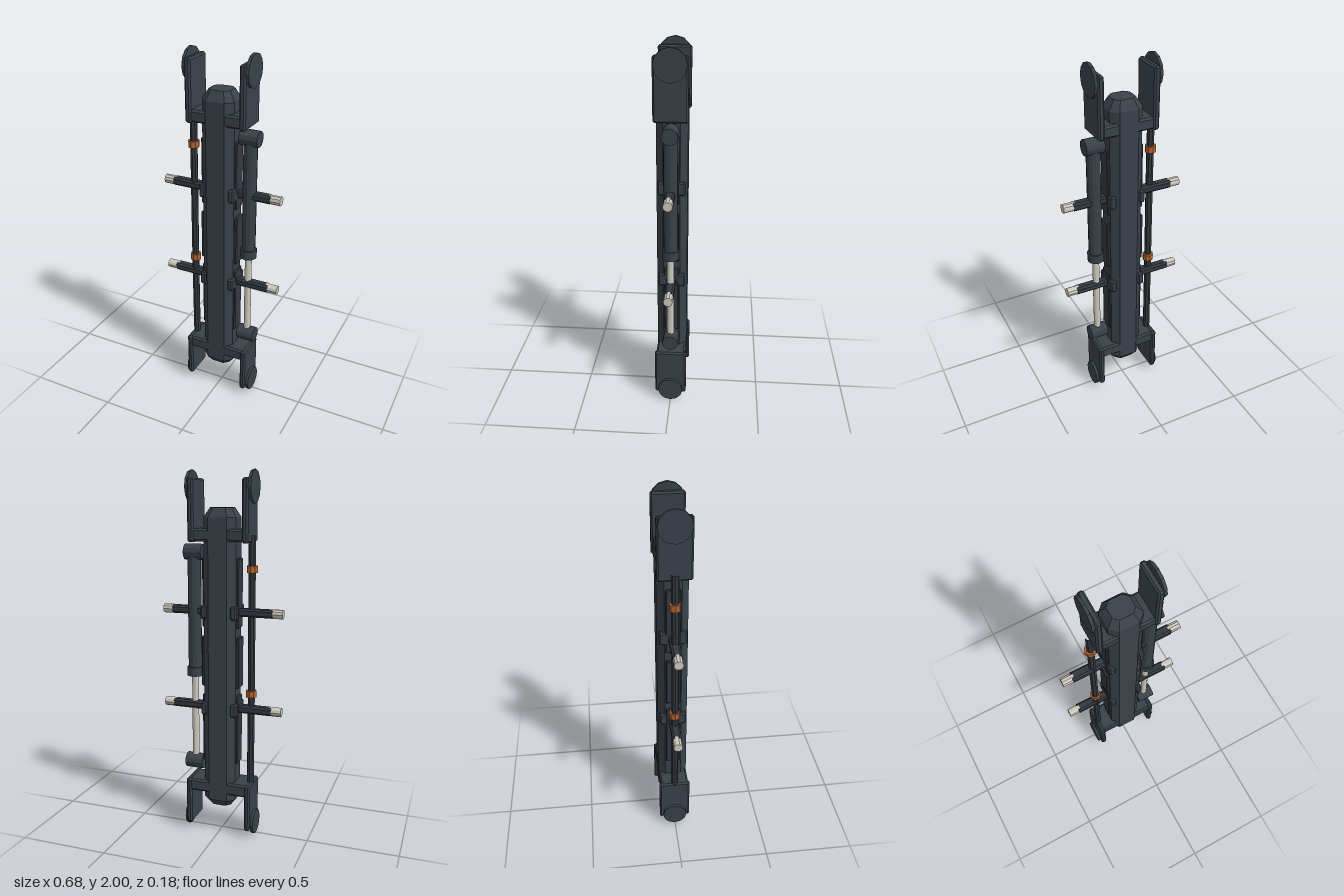
import * as THREE from 'three';
import { ConvexGeometry } from 'three/addons/geometries/ConvexGeometry.js';

const mat = (name, color, flatShading = false) => {
  const m = new THREE.MeshStandardMaterial({ color, flatShading });
  m.name = name;
  return m;
};

export function createModel() {
  const model = new THREE.Group();
  model.name = 'strut';
  const steel = mat('darkSteel', 0x394149, true);
  const gun = mat('gunmetal', 0x32393f, true);
  const bare = mat('bareMetal', 0xcfcabf, true);
  const copper = mat('copper', 0xb5652f, true);

  const add = (name, geo, material, x, y, z = 0) => {
    const mesh = new THREE.Mesh(geo, material);
    mesh.name = name;
    mesh.position.set(x, y, z);
    model.add(mesh);
    return mesh;
  };

  // Box with every edge cut at 45 degrees
  const chamferBox = (w, h, d, c) => {
    const pts = [];
    for (const i of [-1, 1]) for (const j of [-1, 1]) for (const k of [-1, 1]) {
      const x = w / 2, y = h / 2, z = d / 2;
      pts.push(new THREE.Vector3(i * x, j * (y - c), k * (z - c)));
      pts.push(new THREE.Vector3(i * (x - c), j * y, k * (z - c)));
      pts.push(new THREE.Vector3(i * (x - c), j * (y - c), k * z));
    }
    return new ConvexGeometry(pts);
  };
  const rod = (r, len, sides) => new THREE.CylinderGeometry(r, r, len, sides);
  const pin = (r, len, sides) => rod(r, len, sides).rotateZ(Math.PI / 2);

  // Eight-sided main beam with tapered ends
  const beam = [];
  for (const [y, s] of [[0.16, 0.65], [0.2, 1], [1.76, 1], [1.81, 0.65]]) {
    for (const i of [-1, 1]) for (const k of [-1, 1]) {
      beam.push(new THREE.Vector3(i * 0.09 * s, y, k * 0.045 * s));
      beam.push(new THREE.Vector3(i * 0.052 * s, y, k * 0.082 * s));
    }
  }
  add('mainBeam', new ConvexGeometry(beam), steel, 0, 0);

  // Forked yokes at both ends
  add('upperCrossbar', chamferBox(0.3, 0.065, 0.162, 0.01), steel, 0, 1.67);
  add('lowerCrossbar', chamferBox(0.35, 0.07, 0.162, 0.01), steel, 0, 0.273);

  for (const s of [-1, 1]) {
    add('upperForkPlate', chamferBox(0.034, 0.325, 0.176, 0.009), steel, s * 0.149, 1.795);
    add('upperPivotDisc', pin(0.085, 0.016, 12), steel, s * 0.171, 1.915);
    add('lowerForkPlate', chamferBox(0.032, 0.27, 0.176, 0.009), steel, s * 0.171, 0.175);
    add('lowerPivotDisc', pin(0.069, 0.016, 12), steel, s * 0.194, 0.069);

    // Raised panels on the flanks
    for (const [y, h, x] of [[1.365, 0.37, 0.092], [0.99, 0.28, 0.097], [0.61, 0.39, 0.092]]) {
      add('sidePanel', chamferBox(0.02, h, 0.08, 0.005), gun, s * x, y);
    }

    // Side pegs with bare tips
    for (const y of [1.265, 0.73]) {
      add('pegBracket', chamferBox(0.035, 0.073, 0.148, 0.008), steel, s * 0.083, y);
      add('pegArm', chamferBox(0.2, 0.044, 0.05, 0.01), gun, s * 0.19, y);
      add('pegTip', pin(0.025, 0.067, 10), bare, s * 0.304, y);
    }
  }

  // Hydraulic piston
  const px = 0.16;
  add('pistonBarrel', rod(0.037, 0.67, 12), steel, px, 1.245);
  add('pistonCollar', rod(0.045, 0.05, 12), steel, px, 0.922);
  add('pistonRod', rod(0.019, 0.52, 12), bare, px, 0.65);
  add('upperPistonMount', pin(0.043, 0.1, 12), steel, px, 1.577);
  add('lowerPistonMount', pin(0.043, 0.1, 12), steel, px, 0.392);

  // Slightly bowed hose with copper clamps
  const path = new THREE.CatmullRomCurve3([
    new THREE.Vector3(-0.164, 1.67, 0), new THREE.Vector3(-0.164, 1.3, 0.002),
    new THREE.Vector3(-0.166, 0.8, 0.002), new THREE.Vector3(-0.166, 0.3, 0),
  ]);
  add('hose', new THREE.TubeGeometry(path, 12, 0.02, 8), gun, 0, 0);
  for (const y of [1.495, 0.82]) add('hoseClamp', rod(0.03, 0.036, 8), copper, -0.165, y);

  return model;
}
